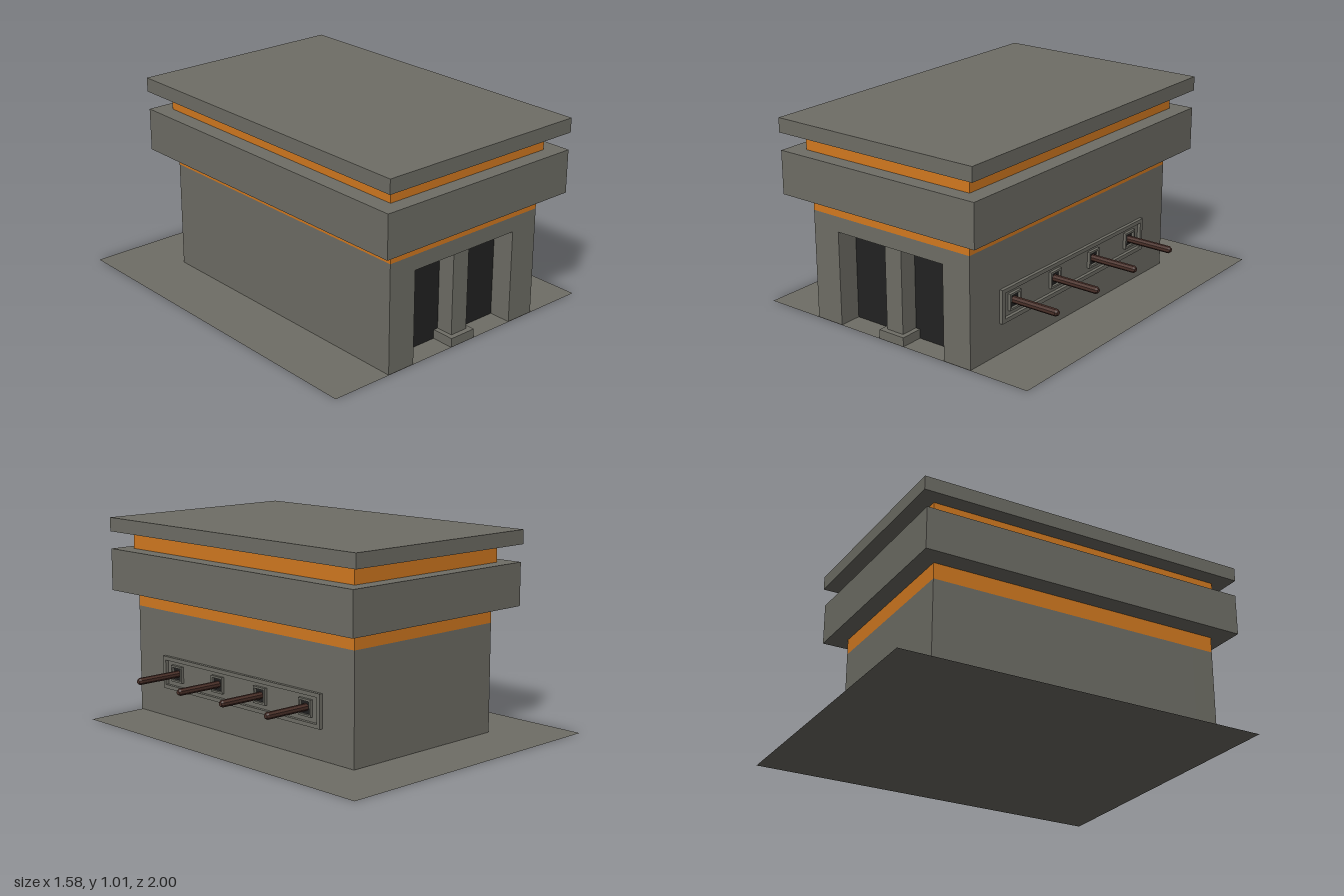
import * as THREE from 'three';

const mat = (color, side = THREE.FrontSide) =>
  new THREE.MeshStandardMaterial({ color, side, flatShading: true });

export function createModel() {
  const model = new THREE.Group();
  const stone = mat(0x6f6e66);
  const orange = mat(0xd47a20);
  const black = mat(0x222222);
  const wood = mat(0x4a3029);

  const add = (name, geometry, material, parent = model) => {
    const mesh = new THREE.Mesh(geometry, material);
    mesh.name = name;
    parent.add(mesh);
    return mesh;
  };
  // Box given by its limits on each axis
  const box = (name, [x0, x1], [y0, y1], [z0, z1], material, parent) => {
    const mesh = add(name, new THREE.BoxGeometry(x1 - x0, y1 - y0, z1 - z0), material, parent);
    mesh.position.set((x0 + x1) / 2, (y0 + y1) / 2, (z0 + z1) / 2);
    return mesh;
  };
  // Rectangular frame facing +x, centred on its own origin, with its back at x = 0
  const frameGeometry = (width, height, border, depth) => {
    const rect = (P, w, h) => new P([
      new THREE.Vector2(-w / 2, -h / 2), new THREE.Vector2(w / 2, -h / 2),
      new THREE.Vector2(w / 2, h / 2), new THREE.Vector2(-w / 2, h / 2)]);
    const shape = rect(THREE.Shape, width, height);
    shape.holes.push(rect(THREE.Path, width - 2 * border, height - 2 * border));
    return new THREE.ExtrudeGeometry(shape, { depth, bevelEnabled: false }).rotateY(Math.PI / 2);
  };

  // Thin ground sheet
  const ground = add('groundSheet', new THREE.PlaneGeometry(1.58, 1.9).rotateX(-Math.PI / 2),
    mat(0x6f6e66, THREE.DoubleSide));
  ground.position.z = -0.05;

  // Main block and front wall with a wide doorway
  const wallX = [-0.473, 0.472];
  box('mainBlock', wallX, [0.002, 0.555], [-0.68, 0.78], stone);
  const wall = new THREE.Shape([
    [-0.473, 0.002], [-0.32, 0.002], [-0.32, 0.478], [0.317, 0.478],
    [0.317, 0.002], [0.472, 0.002], [0.472, 0.555], [-0.473, 0.555],
  ].map(([x, y]) => new THREE.Vector2(x, y)));
  add('frontWall', new THREE.ExtrudeGeometry(wall, { depth: 0.12, bevelEnabled: false }), stone)
    .position.z = 0.78;

  // Dark doors, with a pillar on a plinth between them
  box('leftDoor', [0.05, 0.317], [0.002, 0.478], [0.77, 0.784], black);
  box('rightDoor', [-0.32, -0.05], [0.002, 0.478], [0.77, 0.784], black);
  box('doorPillar', [-0.05, 0.048], [0.002, 0.478], [0.77, 0.875], stone);
  box('pillarPlinth', [-0.075, 0.073], [0.002, 0.048], [0.77, 0.902], stone);

  // Stacked bands and roof slab
  box('lowerOrangeBand', wallX, [0.555, 0.637], [-0.68, 0.9], orange);
  box('overhangingBand', [-0.577, 0.575], [0.637, 0.854], [-0.773, 0.992], stone);
  box('upperOrangeBand', [-0.49, 0.488], [0.854, 0.943], [-0.695, 0.914], orange);
  box('roofSlab', [-0.575, 0.573], [0.943, 1.015], [-0.787, 1.0], stone);

  // Framed panel on the left side
  add('sidePanelFrame', frameGeometry(1.16, 0.168, 0.02, 0.018), stone).position.set(0.471, 0.238, 0.107);

  // Four framed sockets, each with a projecting pole
  const poleProfile = [[0, -0.14], [0.018, -0.14], [0.018, 0.13], [0.011, 0.14], [0, 0.14]]
    .map(([r, y]) => new THREE.Vector2(r, y));
  const poleGeometry = new THREE.LatheGeometry(poleProfile, 8).rotateZ(-Math.PI / 2).rotateX(Math.PI / 8);
  const socketGeometry = frameGeometry(0.084, 0.084, 0.01, 0.016);
  for (let i = 0; i < 4; i++) {
    const socket = new THREE.Group();
    socket.name = 'poleSocket' + (i + 1);
    socket.position.set(0.471, 0.24, 0.585 - i * 0.317);
    model.add(socket);
    add('socketFrame', socketGeometry, stone, socket);
    box('socketHole', [-0.01, 0.003], [-0.033, 0.033], [-0.033, 0.033], black, socket);
    add('pole', poleGeometry, wood, socket).position.x = 0.116;
  }

  return model;
}
